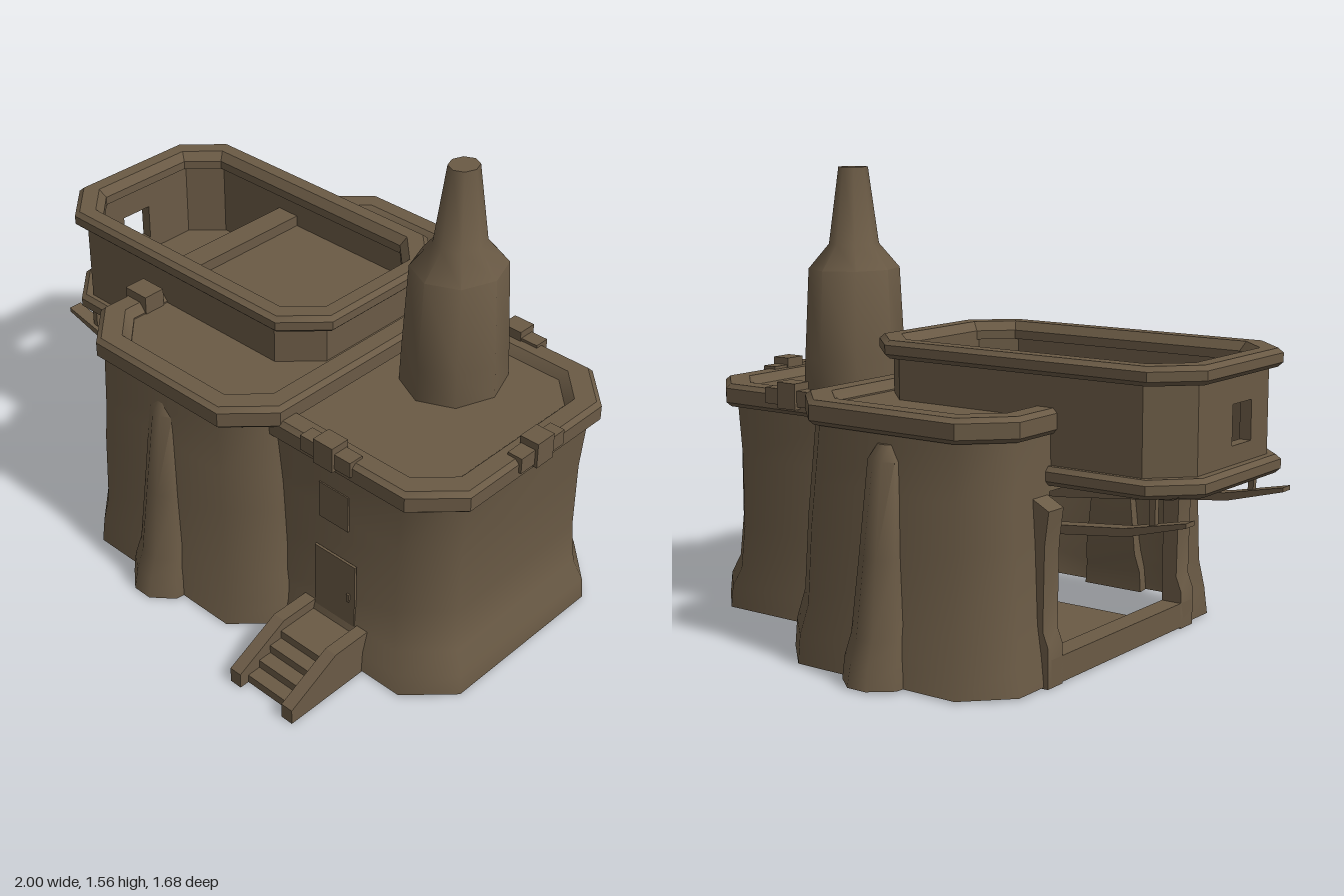
import * as THREE from 'three';
import { toCreasedNormals } from 'three/addons/utils/BufferGeometryUtils.js';

const clay = new THREE.MeshStandardMaterial({ color: 0x6a5a45, side: THREE.DoubleSide });
clay.name = 'brown clay';

function add(parent, name, geometry, crease = 0.9) {
  const mesh = new THREE.Mesh(toCreasedNormals(geometry, crease), clay);
  mesh.name = name;
  parent.add(mesh);
  return mesh;
}

function box(parent, name, x0, x1, y0, y1, z0, z1) {
  const g = new THREE.BoxGeometry(x1 - x0, y1 - y0, z1 - z0);
  g.translate((x0 + x1) / 2, (y0 + y1) / 2, (z0 + z1) / 2);
  return add(parent, name, g);
}

// Rectangle with cut corners, as [x, z] points
function octagon(x0, x1, z0, z1, c) {
  return [[x1, z0 + c], [x1, z1 - c], [x1 - c, z1], [x0 + c, z1],
    [x0, z1 - c], [x0, z0 + c], [x0 + c, z0], [x1 - c, z0]];
}

// Skin through rings of equal point count; each ring is { y, pts }
function loft(rings, { cap = false, closed = false, skip = () => false } = {}) {
  const pos = [];
  const n = rings[0].pts.length;
  const at = (r, i) => [r.pts[i % n][0], r.y, r.pts[i % n][1]];
  const pairs = closed ? rings.length : rings.length - 1;
  for (let k = 0; k < pairs; k++) {
    const low = rings[k], high = rings[(k + 1) % rings.length];
    for (let i = 0; i < n; i++) {
      if (skip(i, k)) continue;
      const a = at(low, i), b = at(low, i + 1), c = at(high, i), d = at(high, i + 1);
      pos.push(...a, ...c, ...b, ...b, ...c, ...d);
    }
  }
  if (cap) {
    const top = rings[rings.length - 1];
    for (let i = 1; i < n - 1; i++) pos.push(...at(top, 0), ...at(top, i + 1), ...at(top, i));
  }
  const g = new THREE.BufferGeometry();
  g.setAttribute('position', new THREE.Float32BufferAttribute(pos, 3));
  g.computeVertexNormals();
  return g;
}

const ring = (y, x0, x1, z0, z1, c) => ({ y, pts: octagon(x0, x1, z0, z1, c) });

// Bevelled band around an octagon: bounds at its widest, inner width w
function band(parent, name, [x0, x1, z0, z1, c], y0, y1, w, b = 0.015) {
  const inset = (y, d) => ring(y, x0 + d, x1 - d, z0 + d, z1 - d, c - d * 0.4);
  add(parent, name, loft([inset(y0, w), inset(y0, b), inset(y0 + b, 0), inset(y1 - b, 0),
    inset(y1, b), inset(y1, w * 0.75), inset(y1 - b * 2, w)], { closed: true }), 0.6);
}

// Upright slab from a plan outline of [x, z] points
function prism(pts, y0, y1) {
  const shape = new THREE.Shape(pts.map(([x, z]) => new THREE.Vector2(x, -z)));
  const g = new THREE.ExtrudeGeometry(shape, { depth: y1 - y0, bevelEnabled: false });
  return g.rotateX(-Math.PI / 2).translate(0, y0, 0);
}

// Slab from an [x, y] side outline, spread over z0..z1
function sideSlab(pts, z0, z1) {
  const shape = new THREE.Shape(pts.map(([x, y]) => new THREE.Vector2(x, y)));
  return new THREE.ExtrudeGeometry(shape, { depth: z1 - z0, bevelEnabled: false }).translate(0, 0, z0);
}

function mainHall(root) {
  const g = new THREE.Group();
  g.name = 'mainHall';
  root.add(g);
  // Walls flare at the foot; the -x wall has an open bay
  const rings = [
    ring(0.005, -0.56, 0.35, -0.75, 0.67, 0.14), ring(0.1, -0.55, 0.345, -0.745, 0.665, 0.14),
    ring(0.2, -0.535, 0.325, -0.725, 0.65, 0.14), ring(0.45, -0.525, 0.31, -0.71, 0.64, 0.13),
    ring(0.6, -0.515, 0.3, -0.7, 0.635, 0.13), ring(0.8, -0.51, 0.285, -0.69, 0.63, 0.13)];
  for (const r of rings) r.pts.splice(5, 0, [r.pts[4][0], 0.32], [r.pts[4][0], -0.39]);
  add(g, 'hallWalls', loft(rings, { skip: (i, k) => i === 5 && k < 4 }));
  band(g, 'hallRim', [-0.535, 0.32, -0.715, 0.65, 0.14], 0.78, 0.86, 0.1);
  add(g, 'hallRoof', prism(octagon(-0.45, 0.23, -0.63, 0.56, 0.1), 0.81, 0.825));
  box(g, 'hallFloor', -0.55, 0.22, 0.004, 0.012, -0.39, 0.32);
  box(g, 'rimStep', -0.53, -0.43, 0.82, 0.89, 0.32, 0.4);

  // Tapered pointed buttresses front and back
  for (const [s, off] of [[1, 0], [-1, 0.08]]) {
    const cut = (y, w, z, zi) => {
      const p = [[-0.11 + w, zi], [-0.11 + w * 0.9, (z + zi) / 2 + 0.01], [-0.11 + w * 0.3, z],
        [-0.11 - w * 0.3, z], [-0.11 - w * 0.9, (z + zi) / 2 + 0.01], [-0.11 - w, zi]]
        .map(([x, zz]) => [x, s * (zz + off)]);
      return { y, pts: s > 0 ? p : p.reverse() };
    };
    add(g, s > 0 ? 'frontButtress' : 'backButtress', loft([
      cut(0.005, 0.12, 0.76, 0.62), cut(0.08, 0.115, 0.745, 0.62), cut(0.15, 0.105, 0.72, 0.6),
      cut(0.4, 0.08, 0.69, 0.6), cut(0.7, 0.06, 0.65, 0.59), cut(0.75, 0.03, 0.625, 0.58)], { cap: true }));
  }

  // Framed bay under the overhang
  box(g, 'baySill', -0.575, -0.5, 0.005, 0.09, -0.46, 0.39);
  for (const [z0, z1] of [[-0.48, -0.4], [0.32, 0.4]]) {
    add(g, 'bayPost', sideSlab([[-0.5, 0], [-0.575, 0], [-0.575, 0.13], [-0.555, 0.18],
      [-0.56, 0.45], [-0.575, 0.56], [-0.5, 0.6]], z0, z1), 0.4);
  }
}

function sideHall(root) {
  const g = new THREE.Group();
  g.name = 'sideHall';
  root.add(g);
  add(g, 'sideWalls', loft([
    ring(0.005, 0.1, 0.985, -0.405, 0.52, 0.14), ring(0.08, 0.1, 0.98, -0.4, 0.515, 0.14),
    ring(0.15, 0.1, 0.945, -0.39, 0.495, 0.14), ring(0.3, 0.1, 0.93, -0.385, 0.485, 0.14),
    ring(0.55, 0.1, 0.935, -0.38, 0.485, 0.14), ring(0.76, 0.1, 0.955, -0.38, 0.495, 0.14)],
  { skip: i => i === 4 }));
  band(g, 'sideRim', [0.1, 0.98, -0.41, 0.515, 0.14], 0.73, 0.81, 0.1);
  add(g, 'sideRoof', prism(octagon(0.18, 0.9, -0.33, 0.43, 0.09), 0.765, 0.78));

  // Clamps on three sides of the rim
  for (const [x, z, turn] of [[0.525, 0.5, 0], [0.535, -0.4, Math.PI], [0.965, 0.045, Math.PI / 2]]) {
    const clamp = new THREE.Group();
    clamp.name = 'rimClamp';
    box(clamp, 'clampBand', -0.105, 0.105, 0.765, 0.82, -0.03, 0.025);
    box(clamp, 'clampBlock', -0.04, 0.04, 0.755, 0.845, -0.035, 0.035);
    clamp.position.set(x, 0, z);
    clamp.rotation.y = turn;
    g.add(clamp);
  }

  // Door, window and entrance stairs
  box(g, 'door', 0.455, 0.63, 0.12, 0.39, 0.488, 0.497);
  box(g, 'doorHandle', 0.6, 0.61, 0.24, 0.27, 0.497, 0.504);
  box(g, 'window', 0.47, 0.595, 0.515, 0.65, 0.485, 0.494);
  for (const x of [0.41, 0.64]) {
    const cheek = sideSlab([[-0.84, 0], [-0.48, 0], [-0.48, 0.155], [-0.64, 0.155], [-0.84, 0.055]], 0, 0.045);
    add(g, 'stairCheek', cheek.rotateY(Math.PI / 2).translate(x, 0, 0), 0.3);
  }
  for (let i = 0; i < 4; i++) {
    box(g, 'step', 0.45, 0.645, 0, 0.03 * (i + 1), 0.48, 0.805 - i * 0.05);
  }

  // Eight-sided chimney
  const profile = [[0.19, 0.77], [0.185, 0.9], [0.168, 1.21], [0.092, 1.295], [0.054, 1.56], [0, 1.56]]
    .map(p => new THREE.Vector2(...p));
  const chimney = add(g, 'chimney', new THREE.LatheGeometry(profile, 8), 0.95);
  chimney.scale.x = 0.9;
  chimney.position.set(0.52, 0, -0.09);
}

function upperDeck(root) {
  const g = new THREE.Group();
  g.name = 'upperDeck';
  root.add(g);
  // Thick wall on every side but -x, where a pierced panel closes it
  const open = p => [...p.slice(5), ...p.slice(0, 5)];
  const outer = open(octagon(-0.96, 0.205, -0.38, 0.3, 0.12));
  const inner = open(octagon(-0.92, 0.165, -0.34, 0.26, 0.1));
  add(g, 'deckWall', prism([...outer, ...inner.reverse()], 0.65, 0.98), 0.4);

  const panel = new THREE.Shape([[-0.18, 0.65], [0.26, 0.65], [0.26, 0.98], [-0.18, 0.98]]
    .map(p => new THREE.Vector2(...p)));
  panel.holes.push(new THREE.Path([[-0.07, 0.74], [-0.07, 0.87], [0.05, 0.87], [0.05, 0.74]]
    .map(p => new THREE.Vector2(...p))));
  const pierced = new THREE.ExtrudeGeometry(panel, { depth: 0.04, bevelEnabled: false });
  add(g, 'piercedWall', pierced.rotateY(Math.PI / 2).translate(-0.96, 0, 0));

  band(g, 'deckRim', [-1, 0.25, -0.41, 0.33, 0.13], 0.96, 1.02, 0.085);
  band(g, 'lowerLip', [-1, -0.3, -0.41, 0.33, 0.13], 0.62, 0.68, 0.085);
  add(g, 'troughFloor', prism(octagon(-0.94, -0.3, -0.36, 0.28, 0.11), 0.64, 0.69));
  add(g, 'deckFloor', prism([[-0.48, -0.35], [0.08, -0.35], [0.18, -0.25], [0.18, 0.17],
    [0.08, 0.27], [-0.48, 0.27]], 0.69, 0.86));
  box(g, 'deckStep', -0.53, -0.44, 0.68, 0.9, -0.35, 0.27);
  add(g, 'underside', sideSlab([[-0.95, 0.635], [-0.92, 0.615], [-0.5, 0.57], [-0.45, 0.57], [-0.45, 0.64]],
    -0.33, 0.25), 0.3);

  // Slender arms reaching out below the deck
  for (const z of [-0.365, 0.25]) {
    add(g, 'arm', sideSlab([[-0.985, 0.545], [-0.78, 0.49], [-0.5, 0.46], [-0.5, 0.49],
      [-0.77, 0.515], [-0.985, 0.56]], z, z + 0.05), 0.4);
    box(g, 'armStrut', -0.87, -0.85, 0.53, 0.63, z + 0.015, z + 0.035);
  }
}

export function createModel() {
  const root = new THREE.Group();
  root.name = 'clayBuilding';
  mainHall(root);
  sideHall(root);
  upperDeck(root);
  return root;
}
